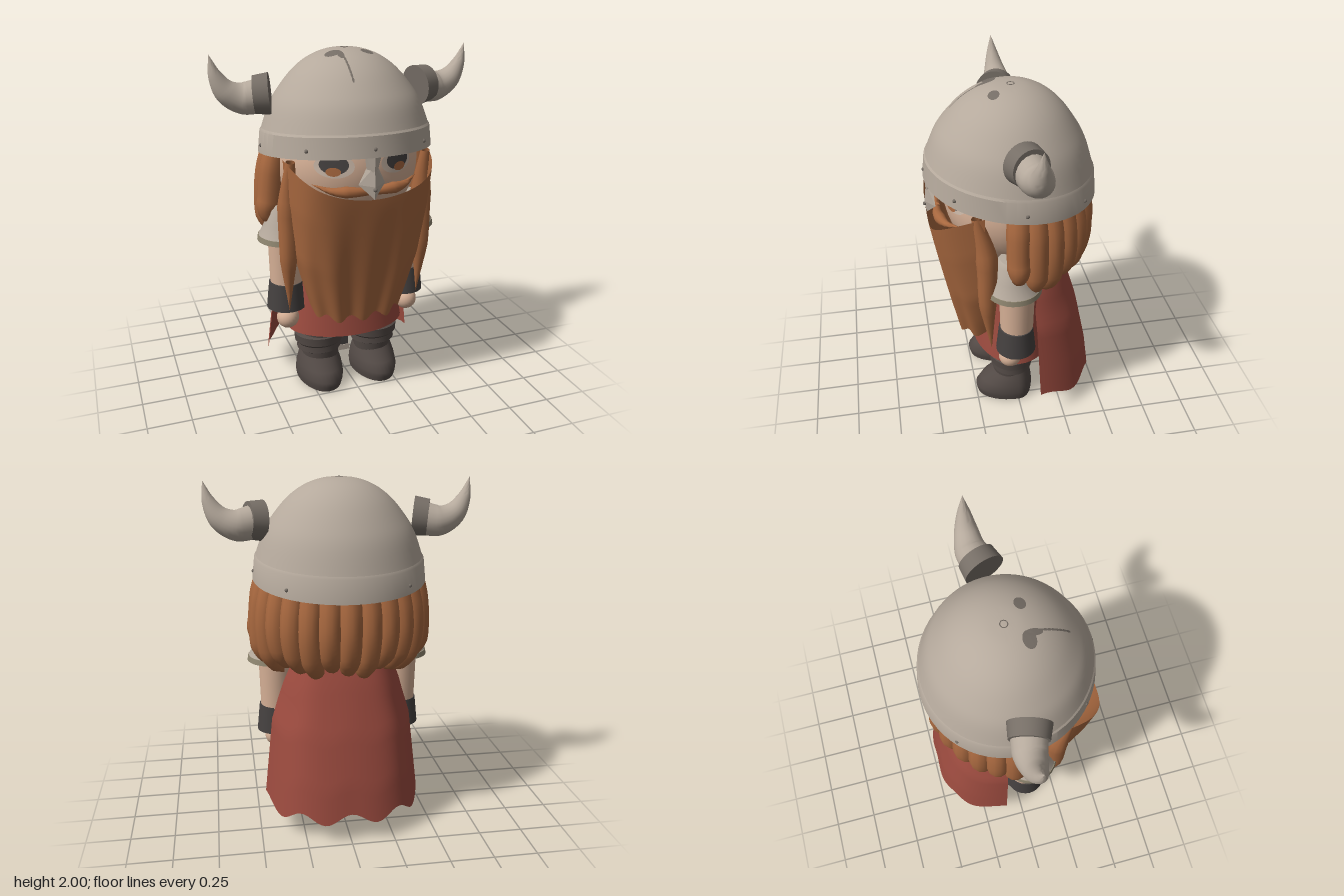
import * as THREE from 'three';
import { toCreasedNormals } from 'three/addons/utils/BufferGeometryUtils.js';
import { ConvexGeometry } from 'three/addons/geometries/ConvexGeometry.js';

const paint = (name, color, side = THREE.FrontSide) => {
  const m = new THREE.MeshStandardMaterial({ color, side });
  m.name = name;
  return m;
};
const V = (x, y, z) => new THREE.Vector3(x, y, z);
const clamp = THREE.MathUtils.clamp;
const lerp = THREE.MathUtils.lerp;

// Piecewise-linear lookup in [[t, value], ...]
function ramp(pts, t) {
  for (let i = 1; i < pts.length; i++) {
    const [a, p] = pts[i - 1], [b, q] = pts[i];
    if (t <= b) return lerp(p, q, clamp((t - a) / (b - a), 0, 1));
  }
  return pts[pts.length - 1][1];
}

// Move every vertex by a rule, then rebuild the normals
function bend(geo, rule, crease = 0.8) {
  const p = geo.attributes.position, v = new THREE.Vector3();
  for (let i = 0; i < p.count; i++) {
    rule(v.fromBufferAttribute(p, i));
    p.setXYZ(i, v.x, v.y, v.z);
  }
  return toCreasedNormals(geo, crease);
}

const lathe = (pts, seg = 40) => new THREE.LatheGeometry(pts.map(([r, y]) => new THREE.Vector2(r, y)), seg);

// Tube whose radius follows a profile along its length
function taperedTube(points, radii, n = 20, sides = 12) {
  const curve = new THREE.CatmullRomCurve3(points);
  const geo = new THREE.TubeGeometry(curve, n, 1, sides);
  const p = geo.attributes.position, v = new THREE.Vector3();
  for (let i = 0; i < p.count; i++) {
    const t = Math.floor(i / (sides + 1)) / n, c = curve.getPointAt(t);
    v.fromBufferAttribute(p, i).sub(c).multiplyScalar(ramp(radii, t)).add(c);
    p.setXYZ(i, v.x, v.y, v.z);
  }
  return toCreasedNormals(geo, 1.2);
}

// Curved sheet: rule(u from -1 to 1, v from 0 at top to 1, target)
const sheet = (nu, nv, rule) => bend(new THREE.PlaneGeometry(2, 1, nu, nv), (q) => rule(q.x, 0.5 - q.y, q), 1.2);

export function createModel() {
  const group = new THREE.Group();
  const metal = paint('helmet metal and horn', 0xb5a99c, THREE.DoubleSide);
  const darkMetal = paint('dark metal', 0x766e66);
  const hair = paint('hair and beard', 0xa8683f, THREE.DoubleSide);
  const skin = paint('skin', 0xd6b096);
  const red = paint('red cloth', 0x9c4b3f, THREE.DoubleSide);
  const leather = paint('boot leather', 0x524945);
  const black = paint('black leather', 0x454140);
  const trim = paint('trim', 0x8f8670);
  const eyeWhite = paint('eye white', 0xc9b6a6);
  const add = (name, geo, mat, x = 0, y = 0, z = 0) => {
    const m = new THREE.Mesh(geo, mat);
    m.name = name;
    m.position.set(x, y, z);
    group.add(m);
    return m;
  };

  // Helmet: dome and band, slightly oval, tilted so the front rim sits higher
  const tilt = (v) => {
    v.z *= v.z > 0 ? 0.985 : 0.955;
    v.y += 0.11 * v.z * clamp((2 - v.y) / 0.5, 0, 1);
  };
  const dome = new THREE.SplineCurve([[0.472, 1.57], [0.425, 1.7], [0.372, 1.787], [0.29, 1.885], [0.2, 1.952], [0.1, 1.99], [0, 2]]
    .map(([r, y]) => new THREE.Vector2(r, y))).getPoints(28);
  const domeTable = dome.map((p) => [p.x, p.y]).reverse();
  add('helmetDome', bend(new THREE.LatheGeometry(dome, 56), tilt), metal);
  add('helmetBand', bend(lathe([[0.475, 1.445], [0.491, 1.445], [0.478, 1.565], [0.468, 1.58]], 56), tilt, 0.5), metal);
  [0, 43, -43, 90, -90, 137, -137].forEach((d) => {
    const a = d * Math.PI / 180, p = V(0.484 * Math.sin(a), 1.49, 0.484 * Math.cos(a));
    tilt(p);
    add('bandRivet', new THREE.SphereGeometry(0.011, 10, 8), darkMetal, p.x, p.y, p.z);
  });
  const topRing = add('crownRing', new THREE.TorusGeometry(0.019, 0.003, 6, 20), darkMetal, 0, 1.998, 0);
  topRing.rotation.x = Math.PI / 2;

  // Worn patches lying on the dome
  const wear = (x, z, rx, rz) => add('helmetWear', bend(new THREE.CircleGeometry(1, 24).rotateX(-Math.PI / 2), (v) => {
    v.set(x + v.x * rx, 0, z + v.z * rz);
    v.y = ramp(domeTable, Math.hypot(v.x, v.z));
    tilt(v);
    v.y += 0.005;
  }), darkMetal);
  wear(-0.1, 0.1, 0.045, 0.035);
  wear(-0.068, 0.13, 0.018, 0.045);
  wear(0.093, 0.105, 0.036, 0.03);
  for (let i = 0; i < 8; i++) wear(-0.06, 0.17 + i * 0.02, 0.006, 0.013);

  // Nose guard
  const m2 = (x, y, z) => [V(x, y, z), V(-x, y, z)];
  add('noseGuardStem', new ConvexGeometry([...m2(0.05, 1.52, 0.45), ...m2(0.03, 1.41, 0.435), V(0, 1.52, 0.478), V(0, 1.39, 0.472)]), metal);
  add('noseGuardTip', new ConvexGeometry([...m2(0.075, 1.345, 0.43), ...m2(0.025, 1.45, 0.435), V(0, 1.27, 0.475), V(0, 1.34, 0.485), V(0, 1.45, 0.47)]), metal);
  add('noseRivet', new THREE.SphereGeometry(0.011, 10, 8), darkMetal, 0, 1.325, 0.483);

  // Head and eyes
  add('head', new THREE.SphereGeometry(1, 36, 24).scale(0.42, 0.4, 0.38), skin, 0, 1.38, 0);
  const eyePart = (name, mat, x, y, rx, ry, lift) => add(name, bend(new THREE.CircleGeometry(1, 28), (v) => {
    v.x = x + v.x * rx;
    v.y = y + v.y * ry;
    v.z = 0.38 * Math.sqrt(1 - (v.x / 0.42) ** 2 - ((v.y - 1.38) / 0.4) ** 2) + lift;
  }), mat);

  for (const s of [1, -1]) {
    eyePart('eyeWhite', eyeWhite, s * 0.175, 1.43, 0.1, 0.062, 0.006);
    eyePart('eyePupil', black, s * 0.18, 1.44, 0.073, 0.05, 0.012);
    eyePart('eyeIris', hair, s * 0.188, 1.405, 0.038, 0.024, 0.018);
    add('moustache', taperedTube([V(s * 0.01, 1.3, 0.42), V(s * 0.1, 1.305, 0.42), V(s * 0.2, 1.31, 0.39), V(s * 0.3, 1.34, 0.32)],
      [[0, 0.02], [0.4, 0.032], [1, 0]]), hair);

    // Horn with its collar
    const collar = add('hornCollar', new THREE.CylinderGeometry(0.103, 0.113, 0.085, 32).rotateZ(-Math.PI / 2), darkMetal, s * 0.468, 1.77, 0);
    collar.rotation.set(0, s > 0 ? 0.3 : Math.PI - 0.3, s * 0.08);
    add('horn', taperedTube([V(s * 0.46, 1.765, 0), V(s * 0.57, 1.75, -0.025), V(s * 0.655, 1.79, -0.025), V(s * 0.71, 1.875, -0.02), V(s * 0.74, 1.99, -0.015)],
      [[0, 0.095], [0.25, 0.088], [0.5, 0.065], [0.75, 0.035], [1, 0]], 28, 20), metal);

    // Hanging strand beside the beard
    add('beardSideStrand', taperedTube([V(s * 0.39, 1.45, 0.25), V(s * 0.395, 1.2, 0.2), V(s * 0.4, 0.9, 0.2), V(s * 0.395, 0.55, 0.18)],
      [[0, 0.025], [0.3, 0.06], [0.65, 0.048], [1, 0]]), hair);

    // Arm, flared shoulder guard, bracer and hand
    add('arm', new THREE.CylinderGeometry(0.105, 0.093, 0.5, 24), skin, s * 0.37, 0.86, 0.03);
    add('shoulderGuard', toCreasedNormals(lathe([[0.149, 0.98], [0.112, 1.05], [0.095, 1.14], [0.075, 1.165], [0, 1.17]], 28), 0.6), metal, s * 0.378, 0, 0.05);
    add('shoulderGuardRim', new THREE.CylinderGeometry(0.152, 0.157, 0.03, 28), trim, s * 0.378, 0.967, 0.05);
    add('bracer', new THREE.CylinderGeometry(0.098, 0.115, 0.16, 28), black, s * 0.375, 0.6, 0.035);
    add('hand', new THREE.SphereGeometry(0.066, 24, 16), skin, s * 0.378, 0.457, 0.07);

    // Boot: shaft, cuff, and foot stretched forward at the toe
    add('bootShaft', new THREE.CylinderGeometry(0.135, 0.11, 0.28, 28), leather, s * 0.17, 0.27, 0.025);
    add('bootCuff', bend(lathe([[0.12, 0.205], [0.135, 0.215], [0.132, 0.25], [0.147, 0.265], [0.15, 0.315], [0.125, 0.325]], 28),
      (v) => { v.z *= 0.92; }, 0.5), leather, s * 0.175, 0, 0.025);
    add('bootFoot', bend(lathe([[0, 0], [0.132, 0], [0.138, 0.03], [0.141, 0.06], [0.135, 0.11], [0.122, 0.16], [0.108, 0.2], [0, 0.215]], 36), (v) => {
      v.z *= v.z > 0 ? ramp([[0, 1.8], [0.06, 1.78], [0.11, 1.6], [0.16, 1.2], [0.2, 1.1]], v.y) : 0.72;
    }), leather, s * 0.175, 0, 0);
  }

  // Beard: a broad curved sheet with soft ridges and a scalloped hem
  add('beard', sheet(60, 24, (u, v, q) => {
    const a = Math.abs(u), ridge = 0.006 * Math.cos(u * 15) * v;
    q.x = ramp([[0, 0.42], [0.25, 0.41], [0.6, 0.375], [0.85, 0.315], [1, 0.275]], v) * Math.sin(u * 1.25) / Math.sin(1.25);
    q.y = lerp(1.27 + 0.185 * a ** 1.8, 0.515 - 0.02 * Math.cos(u * 15) + 0.05 * a ** 4, v);
    q.z = lerp(0.478, 0.33, v ** 1.1) - lerp(0.27, 0.15, v) * a ** lerp(4.5, 3, v) + ridge;
  }), hair);

  // Hair: broad overlapping locks around the back and sides
  add('hairMass', new THREE.SphereGeometry(1, 28, 18).scale(0.38, 0.27, 0.28), hair, 0, 1.24, -0.13);
  for (let i = -7; i <= 7; i++) {
    const a = i * 13.6 * Math.PI / 180, side = Math.abs(i) / 7;
    const low = side > 0.95 ? 1.05 : 0.92 + 0.025 * ((i * 7 + 70) % 3);
    const curl = lerp(0.7, 0.95, side ** 3);
    const at = (k, y) => V(Math.sin(a) * 0.456 * k, y, -Math.cos(a) * 0.394 * k);
    add('hairLock', taperedTube([at(0.88, 1.5), at(0.96, 1.38), at(1.01, 1.2), at((1 + curl) / 2 + 0.06, lerp(low, 1.2, 0.4)), at(curl, low)],
      [[0, 0.06], [0.3, 0.068], [0.75, 0.066], [0.9, 0.045], [1, 0]], 20, 12), hair);
  }

  // Tunic, closed underneath
  add('tunic', bend(lathe([[0, 0.37], [0.345, 0.36], [0.36, 0.355], [0.345, 0.45], [0.325, 0.56], [0.3, 0.8], [0.28, 1], [0.2, 1.1], [0, 1.12]], 44),
    (v) => { v.z *= 0.67; }, 0.6), red);

  // Cape
  add('cape', sheet(48, 20, (u, v, q) => {
    q.x = ramp([[0, 0.25], [0.25, 0.34], [0.5, 0.41], [1, 0.46]], v) * Math.sin(u * 1.3) / Math.sin(1.3);
    q.y = lerp(1.08, 0.145 + 0.03 * Math.cos(u * 13), v);
    const back = ramp([[0, -0.24], [0.2, -0.31], [0.5, -0.395], [0.8, -0.455], [1, -0.48]], v);
    q.z = lerp(back, ramp([[0, -0.13], [0.35, -0.08], [1, -0.11]], v), Math.abs(u) ** 2.6) + 0.005 * Math.cos(u * 13) * v;
  }), red);

  // Scabbard hanging between the legs
  add('scabbard', new THREE.BoxGeometry(0.08, 0.45, 0.04), black, 0, 0.36, -0.06);
  add('scabbardTip', new THREE.BoxGeometry(0.09, 0.035, 0.05), metal, 0, 0.12, -0.06);

  return group;
}
